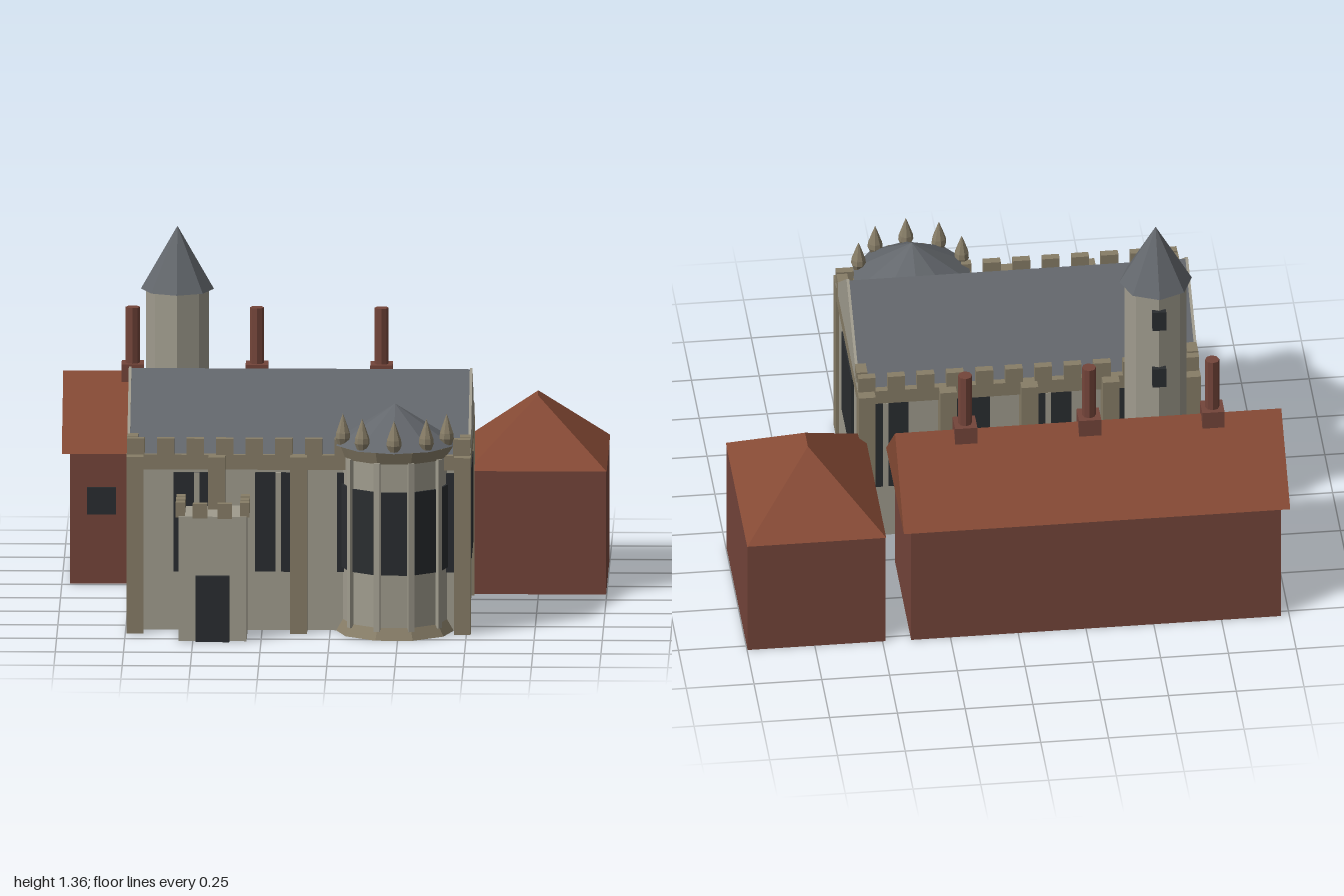
import * as THREE from 'three';
import { ConvexGeometry } from 'three/addons/geometries/ConvexGeometry.js';

const mat = (color) => new THREE.MeshStandardMaterial({ color, flatShading: true });
const STONE = mat(0xa09c8e), TRIM = mat(0x877d67), SLATE = mat(0x63676c);
const BRICK = mat(0x74453a), TILE = mat(0x864a35), GLASS = mat(0x2a2d30);

function add(parent, name, geometry, material) {
  const mesh = new THREE.Mesh(geometry, material);
  mesh.name = name;
  parent.add(mesh);
  return mesh;
}

// box given by its limits on each axis
function box(parent, name, material, x0, x1, y0, y1, z0, z1) {
  const m = add(parent, name, new THREE.BoxGeometry(x1 - x0, y1 - y0, z1 - z0), material);
  m.position.set((x0 + x1) / 2, (y0 + y1) / 2, (z0 + z1) / 2);
  return m;
}

// upright prism, frustum or cone
function drum(parent, name, material, rTop, rBottom, y0, y1, x, z, sides, turn = 0) {
  const m = add(parent, name, new THREE.CylinderGeometry(rTop, rBottom, y1 - y0, sides), material);
  m.position.set(x, (y0 + y1) / 2, z);
  m.rotation.y = turn;
  return m;
}

// roof solid: rectangular eaves and a ridge between two points
function roof(parent, name, material, x0, x1, z0, z1, eave, ridgeA, ridgeB) {
  const pts = [[x0, eave, z0], [x1, eave, z0], [x1, eave, z1], [x0, eave, z1], ridgeA, ridgeB];
  return add(parent, name, new ConvexGeometry(pts.map((p) => new THREE.Vector3(...p))), material);
}

function group(parent, name) {
  const g = new THREE.Group();
  g.name = name;
  parent.add(g);
  return g;
}

function buildHall(root) {
  const hall = group(root, 'hall');
  box(hall, 'hallWalls', STONE, -0.735, 0.505, 0, 0.61, -0.085, 0.58);
  box(hall, 'parapetBand', TRIM, -0.745, 0.515, 0.605, 0.66, -0.12, 0.61);
  roof(hall, 'hallRoof', SLATE, -0.735, 0.505, -0.1, 0.595, 0.655, [-0.735, 0.91, 0.245], [0.505, 0.91, 0.245]);
  for (const x of [-0.745, 0.505])
    roof(hall, 'gable', STONE, x, x + 0.01, -0.11, 0.605, 0.655, [x, 0.916, 0.247], [x + 0.01, 0.916, 0.247]);

  // buttresses along both long sides
  for (let i = 0; i < 5; i++) {
    const x = -0.715 + i * 0.3;
    box(hall, 'buttress', TRIM, x - 0.031, x + 0.031, 0, 0.66, 0.57, 0.655);
    box(hall, 'buttress', TRIM, x - 0.031, x + 0.031, 0, 0.66, -0.16, -0.075);
  }
  // battlements
  for (let i = 0; i < 12; i++) {
    const x = -0.712 + i * 0.1085;
    box(hall, 'merlon', TRIM, x - 0.032, x + 0.032, 0.66, 0.72, 0.58, 0.61);
    box(hall, 'merlon', TRIM, x - 0.032, x + 0.032, 0.66, 0.72, -0.12, -0.09);
  }
  for (const x of [-0.745, 0.475]) for (const z of [-0.05, 0.54])
    box(hall, 'gableMerlon', TRIM, x, x + 0.04, 0.66, 0.72, z - 0.03, z + 0.03);

  // paired side windows with a stone mullion
  for (let i = 0; i < 4; i++) {
    const x = -0.51 + i * 0.3;
    for (const [z0, z1] of [[0.57, 0.59], [-0.095, -0.075]]) {
      box(hall, 'sideWindow', GLASS, x - 0.065, x + 0.065, 0.22, 0.59, z0, z1);
      box(hall, 'mullion', STONE, x + 0.01, x + 0.03, 0.22, 0.59, z0 - 0.006, z1 + 0.006);
    }
  }
  // large end windows
  box(hall, 'endWindow', GLASS, 0.495, 0.515, 0.235, 0.575, 0.095, 0.41);
  box(hall, 'endWindow', GLASS, -0.745, -0.725, 0.235, 0.575, 0.095, 0.41);
}

function buildPorch(root) {
  const porch = group(root, 'porch');
  const cx = -0.428;
  box(porch, 'porchWalls', STONE, cx - 0.125, cx + 0.125, 0, 0.465, 0.57, 0.79);
  box(porch, 'door', GLASS, cx - 0.062, cx + 0.062, 0, 0.245, 0.78, 0.81);
  for (const s of [-1, 1]) {
    const x = cx + s * 0.045;
    box(porch, 'porchMerlon', TRIM, x - 0.027, x + 0.027, 0.46, 0.515, 0.772, 0.802);
    const e = cx + s * 0.118;
    for (const z of [0.64, 0.7, 0.758])
      box(porch, 'porchMerlon', TRIM, e - 0.017, e + 0.017, 0.46, 0.515, z - 0.022, z + 0.022);
  }
}

function buildBay(root) {
  const bay = group(root, 'bay');
  bay.position.set(0.237, 0, 0.56);
  const half = Math.PI / 10;
  drum(bay, 'bayPlinth', TRIM, 0.19, 0.222, 0, 0.055, 0, 0, 10, half);
  drum(bay, 'bayWalls', STONE, 0.197, 0.197, 0, 0.66, 0, 0, 10, half);
  drum(bay, 'bayCornice', TRIM, 0.217, 0.2, 0.655, 0.7, 0, 0, 10, half);
  drum(bay, 'bayRoof', SLATE, 0, 0.225, 0.7, 0.845, 0, 0, 10);
  // pinnacle profile, stood above each window
  const profile = [[0, 0], [0.016, 0], [0.028, 0.03], [0.026, 0.05], [0.012, 0.09], [0, 0.122]]
    .map((p) => new THREE.Vector2(...p));
  for (let i = -2; i <= 2; i++) {
    const side = group(bay, 'baySide');
    side.rotation.y = i * half * 2;
    box(side, 'bayWindow', GLASS, -0.047, 0.047, 0.24, 0.55, 0.18, 0.195);
    const p = add(side, 'pinnacle', new THREE.LatheGeometry(profile, 8), TRIM);
    p.position.set(0, 0.698, 0.2);
  }
  for (let i = -2; i < 2; i++) {
    const corner = group(bay, 'bayCorner');
    corner.rotation.y = (i * 2 + 1) * half;
    box(corner, 'bayPilaster', STONE, -0.011, 0.011, 0.03, 0.66, 0.18, 0.208);
  }
}

function buildTower(root) {
  const tower = group(root, 'tower');
  const x = -0.575, z = -0.188;
  drum(tower, 'towerWalls', STONE, 0.115, 0.115, 0, 1.12, x, z, 8);
  drum(tower, 'towerRoof', SLATE, 0, 0.134, 1.12, 1.355, x, z, 8);
  for (const y of [0.73, 0.98])
    box(tower, 'towerWindow', GLASS, x - 0.025, x + 0.025, y, y + 0.08, z - 0.127, z - 0.1);
}

function buildLongHouse(root) {
  const house = group(root, 'longHouse');
  box(house, 'longHouseWalls', BRICK, -0.97, 0.395, 0, 0.49, -0.78, -0.27);
  roof(house, 'longHouseRoof', TILE, -1, 0.425, -0.81, -0.24, 0.49, [-1, 0.745, -0.525], [0.425, 0.745, -0.525]);
  for (let i = 0; i < 4; i++) {
    const x = -0.855 + i * 0.36;
    box(house, 'houseWindow', GLASS, x - 0.053, x + 0.053, 0.26, 0.36, -0.28, -0.262);
  }
  for (const x of [-0.745, -0.29, 0.167]) {
    box(house, 'chimneyBase', BRICK, x - 0.041, x + 0.041, 0.69, 0.775, -0.568, -0.486);
    drum(house, 'chimneyStack', BRICK, 0.026, 0.026, 0.77, 0.983, x, -0.527, 8);
  }
}

function buildPavilion(root) {
  const pavilion = group(root, 'pavilion');
  box(pavilion, 'pavilionWalls', BRICK, 0.49, 0.998, 0, 0.46, -0.777, -0.1);
  roof(pavilion, 'pavilionRoof', TILE, 0.487, 1, -0.782, -0.097, 0.46, [0.742, 0.685, -0.485], [0.742, 0.685, -0.395]);
}

export function createModel() {
  const root = new THREE.Group();
  root.name = 'collegeChapel';
  buildHall(root);
  buildPorch(root);
  buildBay(root);
  buildTower(root);
  buildLongHouse(root);
  buildPavilion(root);
  return root;
}
